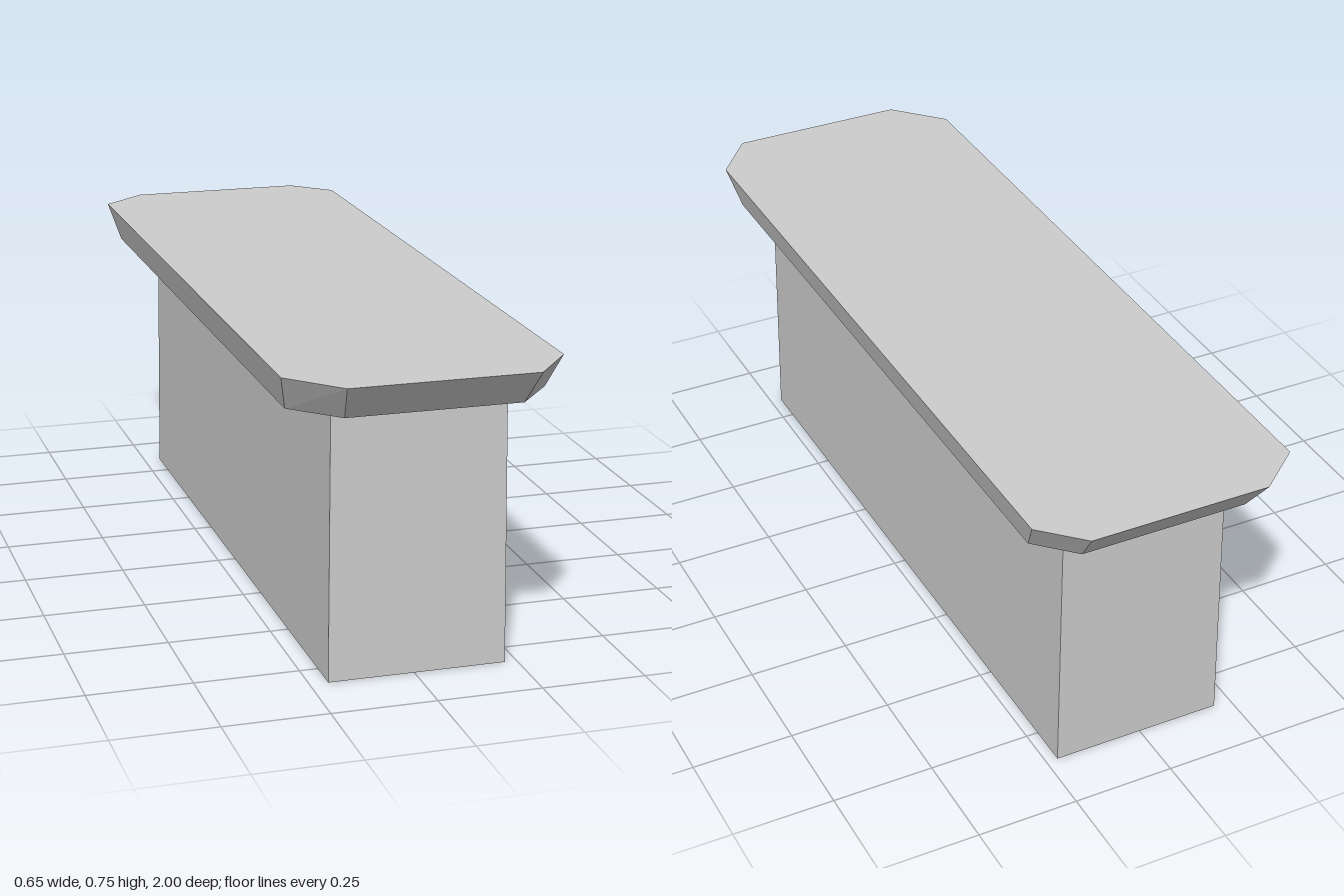
import * as THREE from 'three';

// Closed flat-faced solid between two rings of [x, z] corners,
// listed front-left, then right, back and left.
function loft(lower, y0, upper, y1) {
  const pos = [];
  const n = lower.length;
  const a = lower.map(([x, z]) => [x, y0, z]);
  const b = upper.map(([x, z]) => [x, y1, z]);
  const tri = (...corners) => corners.forEach((c) => pos.push(...c));
  for (let i = 0; i < n; i++) {
    const j = (i + 1) % n;
    tri(a[i], a[j], b[j]);
    tri(a[i], b[j], b[i]);
  }
  for (let i = 1; i < n - 1; i++) {
    tri(b[0], b[i], b[i + 1]);
    tri(a[0], a[i + 1], a[i]);
  }
  const geometry = new THREE.BufferGeometry();
  geometry.setAttribute('position', new THREE.Float32BufferAttribute(pos, 3));
  geometry.computeVertexNormals();
  return geometry;
}

const rectangle = (x0, x1, z0, z1) => [[x0, z1], [x1, z1], [x1, z0], [x0, z0]];

// Rectangle with cut corners; the inner limits mark where the cuts begin.
const octagon = (x0, x1, z0, z1, ix0, ix1, iz0, iz1) => [
  [ix0, z1], [ix1, z1], [x1, iz1], [x1, iz0],
  [ix1, z0], [ix0, z0], [x0, iz0], [x0, iz1],
];

export function createModel() {
  const group = new THREE.Group();
  group.name = 'counter';
  const stone = new THREE.MeshStandardMaterial({ color: 0xcccccc });
  stone.name = 'light grey';

  const add = (name, geometry) => {
    const mesh = new THREE.Mesh(geometry, stone);
    mesh.name = name;
    group.add(mesh);
  };

  // Slightly tapered block, set a little off centre
  add('base', loft(
    rectangle(-0.206, 0.221, -0.852, 0.834), 0,
    rectangle(-0.2, 0.215, -0.845, 0.828), 0.659));

  // Slab with cut corners, flaring outwards to the top
  add('top', loft(
    octagon(-0.305, 0.303, -0.932, 0.932, -0.2, 0.215, -0.845, 0.828), 0.658,
    octagon(-0.328, 0.326, -1, 1, -0.215, 0.23, -0.906, 0.88), 0.745));

  return group;
}
